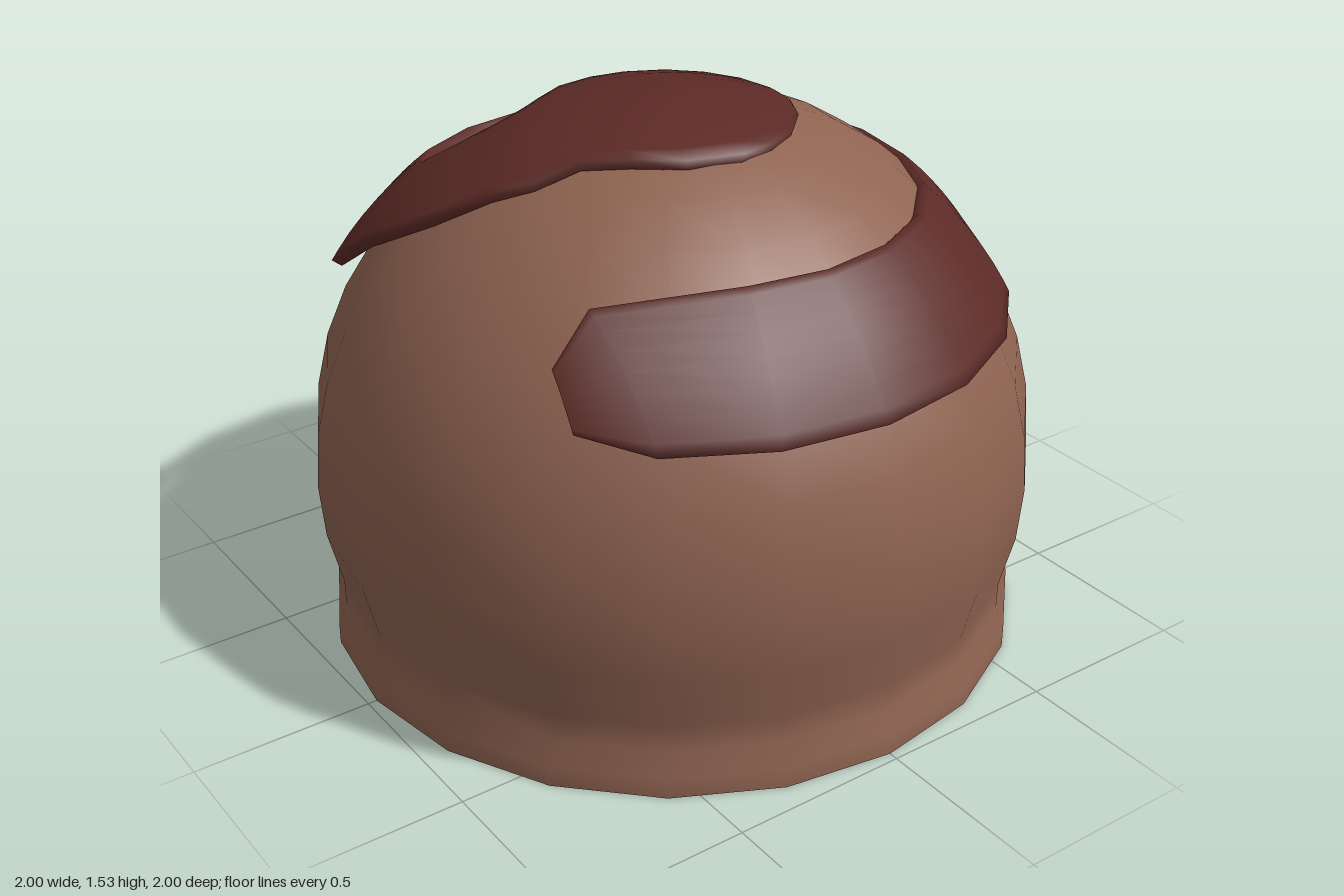
import * as THREE from 'three';

const CY = 0.51; // height of the dome's centre
const brown = new THREE.MeshStandardMaterial({ color: 0x8f6351, side: THREE.DoubleSide });
const red = new THREE.MeshStandardMaterial({ color: 0x5c2a26, side: THREE.DoubleSide });

// Open-bottomed dome with a slightly flared rim
function makeDome() {
  const profile = [[0.975, 0], [0.975, 0.06], [0.95, 0.125]];
  for (let d = -18; d <= 90; d += 9) {
    const a = THREE.MathUtils.degToRad(d);
    profile.push([Math.max(Math.cos(a), 0), CY + Math.sin(a)]);
  }
  const geo = new THREE.LatheGeometry(profile.map(([r, y]) => new THREE.Vector2(r, y)), 20);
  const mesh = new THREE.Mesh(geo, brown);
  mesh.name = 'dome';
  return mesh;
}

// Plan-view sections of the stripe: [outer x, outer z, inner x, inner z]
function stripeSections() {
  const out = [[-0.715, 0.61, -0.7, 0.5], [-0.58, 0.76, -0.58, 0.48]];
  // Ring around the dome
  for (let d = -18; d <= 198; d += 18) {
    const a = THREE.MathUtils.degToRad(d), s = Math.sin(a), c = Math.cos(a);
    out.push([-0.03 + 0.94 * s, 0.94 * c, -0.03 + 0.69 * s, 0.69 * c]);
  }
  // Hook that turns inward to the crown
  out.push(
    [-0.57, -0.74, -0.43, -0.545], [-0.72, -0.6, -0.5, -0.46],
    [-0.755, -0.33, -0.525, -0.42], [-0.69, -0.1, -0.465, -0.315],
    [-0.58, 0.02, -0.34, -0.257], [-0.5, 0.1, -0.285, -0.265],
    [-0.385, 0.14, -0.235, -0.285], [-0.29, 0.23, -0.13, -0.345],
    [-0.18, 0.315, -0.02, -0.357],
  );
  // Round crown patch
  for (let d = 0; d <= 90; d += 18) {
    const a = THREE.MathUtils.degToRad(d), b = Math.min(a + 0.31, Math.PI / 2);
    out.push([-0.03 + 0.355 * Math.sin(a), 0.355 * Math.cos(a),
      -0.03 + 0.355 * Math.sin(b), -0.355 * Math.cos(b)]);
  }
  return out;
}

// Raised spiral stripe: a sheet just above the dome with its edges turned in
function makeStripe() {
  const SINK = 0.97;
  const steps = [0, 0.07, 0.2, 0.35, 0.5, 0.65, 0.8, 0.93, 1];
  const lift = (x, z, k) => {
    const q = ((x + 0.03) ** 2 + z * z) / (1.05 * 1.05);
    const y = 1.02 * Math.sqrt(Math.max(1 - q, 0));
    return [(x + 0.03) * k - 0.03, CY + y * k, z * k];
  };
  const sections = stripeSections();
  const n = sections.length, cols = steps.length + 2;
  const pos = [], index = [];
  for (let i = -1; i <= n; i++) {
    const end = i < 0 || i === n;
    const [ox, oz, ix, iz] = sections[Math.min(Math.max(i, 0), n - 1)];
    for (let j = 0; j < cols; j++) {
      const edge = j === 0 || j === cols - 1;
      const t = steps[Math.min(Math.max(j - 1, 0), steps.length - 1)];
      pos.push(...lift(ox + (ix - ox) * t, oz + (iz - oz) * t, end || edge ? SINK : 1));
    }
  }
  for (let i = 0; i <= n; i++) {
    for (let j = 0; j < cols - 1; j++) {
      const a = i * cols + j, b = a + cols;
      index.push(a, b, a + 1, b, b + 1, a + 1);
    }
  }
  const geo = new THREE.BufferGeometry();
  geo.setAttribute('position', new THREE.Float32BufferAttribute(pos, 3));
  geo.setIndex(index);
  geo.computeVertexNormals();
  const mesh = new THREE.Mesh(geo, red);
  mesh.name = 'spiralStripe';
  return mesh;
}

export function createModel() {
  const group = new THREE.Group();
  group.name = 'domedCap';
  group.add(makeDome(), makeStripe());
  return group;
}
